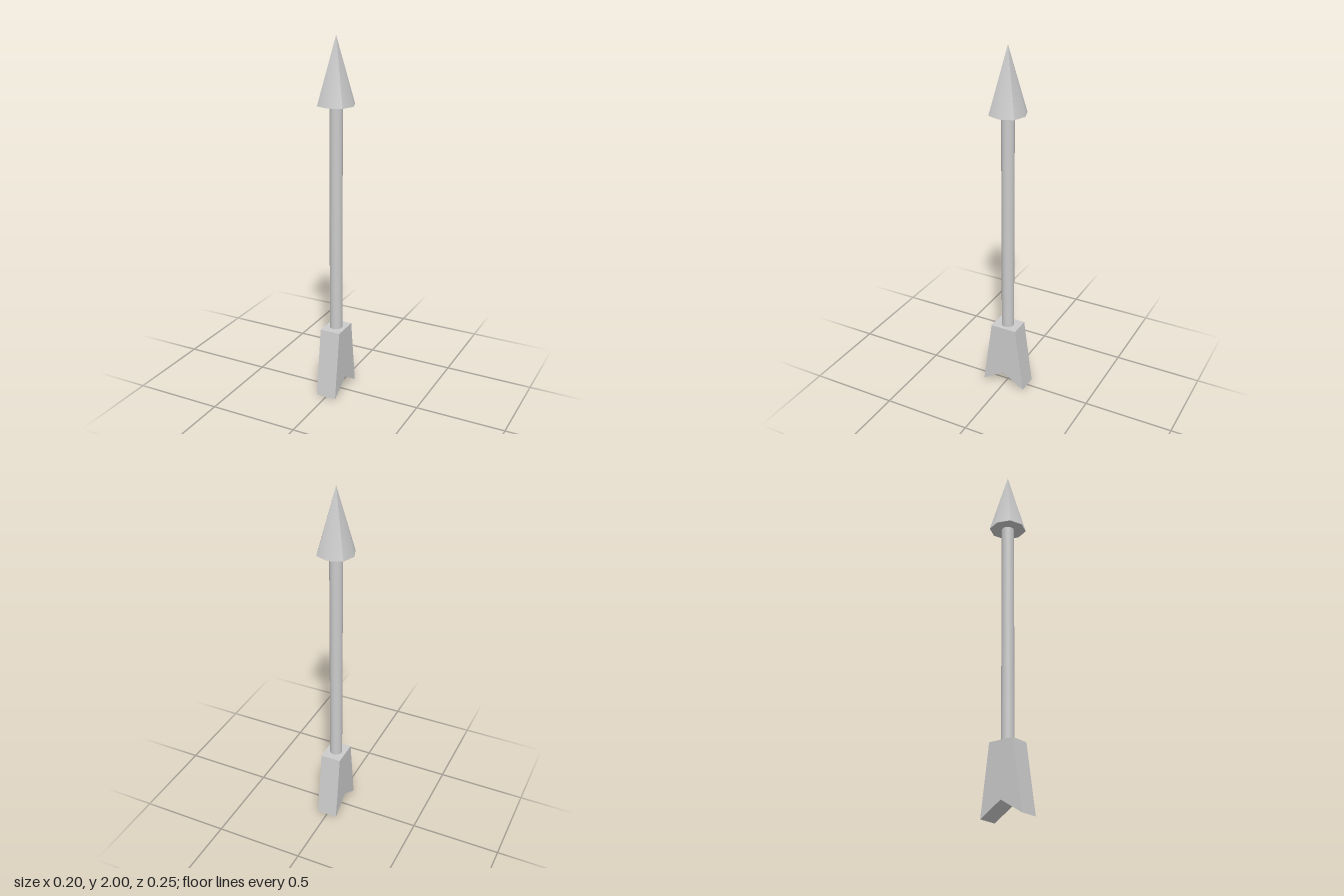
import * as THREE from 'three';
import { toCreasedNormals } from 'three/addons/utils/BufferGeometryUtils.js';

export function createModel() {
  const group = new THREE.Group();
  const material = new THREE.MeshStandardMaterial({ color: 0xcccccc });
  const add = (name, geometry, y = 0) => {
    const mesh = new THREE.Mesh(geometry, material);
    mesh.name = name;
    mesh.position.y = y;
    group.add(mesh);
  };

  const headBase = 1.645, tailTop = 0.385;

  // Arrowhead: eight-sided cone, its diagonal corners pushed out slightly so only those edges stay sharp
  const head = new THREE.ConeGeometry(0.1, 2 - headBase, 8);
  const pos = head.attributes.position;
  for (let i = 0; i < pos.count; i++) {
    const x = pos.getX(i), z = pos.getZ(i);
    if (Math.abs(x) > 0.01 && Math.abs(z) > 0.01) {
      pos.setX(i, x * 1.035);
      pos.setZ(i, z * 1.035);
    }
  }
  add('arrowhead', toCreasedNormals(head, THREE.MathUtils.degToRad(43)), (2 + headBase) / 2);

  // Shaft: smooth rod running from inside the tail to the head
  const shaftBottom = 0.3;
  add('shaft', new THREE.CylinderGeometry(0.035, 0.035, headBase - shaftBottom, 24), (headBase + shaftBottom) / 2);

  // Tail: flared block with a V notch underneath, extruded across x
  const profile = new THREE.Shape([
    [-0.127, 0], [0, 0.08], [0.127, 0], [0.075, tailTop], [-0.075, tailTop],
  ].map(([z, y]) => new THREE.Vector2(z, y)));
  const width = 0.116;
  const tail = new THREE.ExtrudeGeometry(profile, { depth: width, bevelEnabled: false });
  tail.translate(0, 0, -width / 2).rotateY(Math.PI / 2);
  add('tail', tail);

  return group;
}
